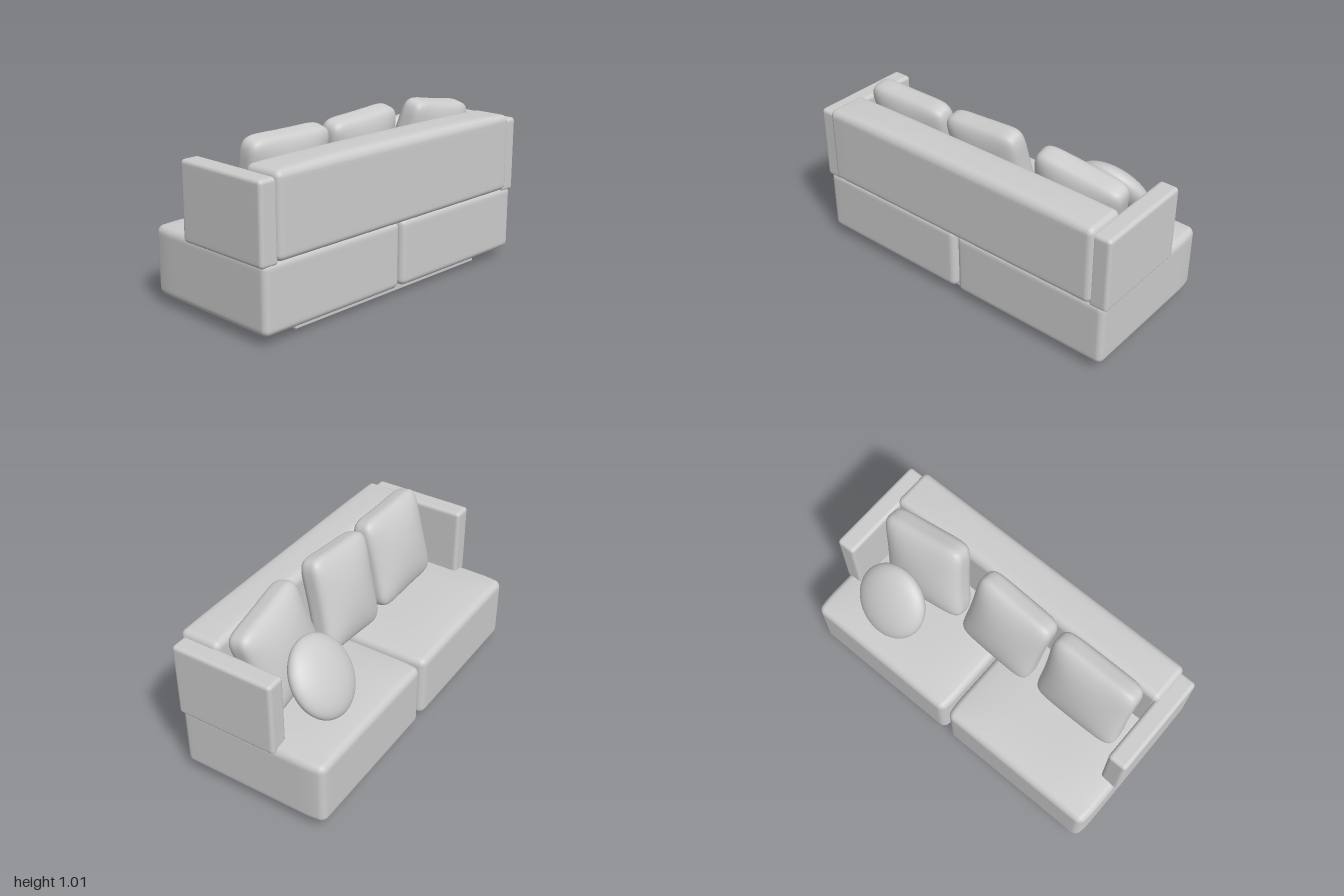
import * as THREE from 'three';
import { mergeVertices } from 'three/addons/utils/BufferGeometryUtils.js';

const material = new THREE.MeshStandardMaterial({ color: 0xcccccc });

// Moves every vertex of a unit cube (-1..1) by a rule and smooths the result.
function shapeCube(segments, rule) {
  let geo = new THREE.BoxGeometry(2, 2, 2, segments, segments, segments);
  geo.deleteAttribute('uv');
  geo.deleteAttribute('normal');
  geo = mergeVertices(geo, 1e-4);
  const pos = geo.attributes.position;
  const v = new THREE.Vector3();
  for (let i = 0; i < pos.count; i++) {
    rule(v.fromBufferAttribute(pos, i));
    pos.setXYZ(i, v.x, v.y, v.z);
  }
  geo.computeVertexNormals();
  return geo;
}

// Upholstered block between two corners: rounded edges, crowned top, optional front taper.
function softBox(name, min, max, { r = 0.03, crown = 0, belly = 0, taper = 0 } = {}) {
  const lo = new THREE.Vector3(...min), hi = new THREE.Vector3(...max);
  const half = hi.clone().sub(lo).multiplyScalar(0.5);
  const inner = half.clone().subScalar(r);
  const core = new THREE.Vector3();
  const geo = shapeCube(28, (p) => {
    for (const a of ['x', 'y', 'z']) {
      // pack the grid lines into the rounded rim
      const t = Math.abs(p[a]);
      const k = 0.7;
      const s = t < k ? (t / k) * inner[a] : inner[a] + ((t - k) / (1 - k)) * r;
      p[a] = Math.sign(p[a]) * s;
    }
    core.copy(p).clamp(inner.clone().negate(), inner);
    p.sub(core);
    const biggest = Math.max(Math.abs(p.x), Math.abs(p.y), Math.abs(p.z));
    if (biggest > 0) p.setLength(r);
    p.add(core);
    const u = p.x / half.x, w = p.z / half.z;
    const rise = (1 - u ** 4) * (1 - w ** 4);
    const side = p.y / half.y;
    p.y += side > 0 ? side * crown * rise : side * belly * rise;
    const front = THREE.MathUtils.clamp((-w - 0.7) / 0.3, 0, 1);
    p.x *= 1 - taper * front * front;
  });
  const mesh = new THREE.Mesh(geo, material);
  mesh.name = name;
  mesh.position.copy(lo).add(hi).multiplyScalar(0.5);
  return mesh;
}

// Plump square pillow: superellipse outline, pinched sides, domed faces.
function pillow(name, [x, y, z], [w, h, t], lean, roll, yaw) {
  const geo = shapeCube(28, (p) => {
    const edge = Math.max(Math.abs(p.x), Math.abs(p.y));
    const m = Math.max(edge, Math.abs(p.z));
    p.divideScalar(m);
    const outline = (Math.abs(p.x) ** 7 + Math.abs(p.y) ** 7) ** (1 / 7);
    const scale = (outline ** 4 + Math.abs(p.z) ** 4) ** (-1 / 4);
    p.multiplyScalar(scale);
    const { x: u, y: v } = p;
    const plump = 0.68 + 0.32 * (1 - u * u) * (1 - v * v);
    p.set(
      u * w * (1 - 0.06 * (1 - v * v)),
      v * h * (1 - 0.03 * (1 - u * u)),
      p.z * t * plump
    );
  });
  const mesh = new THREE.Mesh(geo, material);
  mesh.name = name;
  mesh.position.set(x, y, z);
  mesh.rotation.set(lean, yaw, roll);
  return mesh;
}

export function createModel() {
  const sofa = new THREE.Group();
  sofa.name = 'sofa';

  // Plinth
  sofa.add(softBox('plinth', [-0.71, 0, -0.35], [0.74, 0.08, 0.35], { r: 0.006 }));

  // Seat blocks and arms, mirrored left and right
  for (const [side, s] of [['left', 1], ['right', -1]]) {
    const seatX = [s * 0.008, s * 0.983].sort((a, b) => a - b);
    sofa.add(softBox(`${side}Seat`, [seatX[0], 0.052, -0.457], [seatX[1], 0.437, 0.432],
      { r: 0.038, crown: 0.027, belly: 0.006, taper: 0.03 }));
    const armX = [s * 0.885, s].sort((a, b) => a - b);
    sofa.add(softBox(`${side}Arm`, [armX[0], 0.412, -0.177], [armX[1], 0.853, 0.432], { r: 0.022 }));
  }

  // Backrest
  sofa.add(softBox('backrest', [-0.907, 0.43, 0.21], [0.907, 0.883, 0.455], { r: 0.036, crown: 0.017 }));

  // Back pillows leaning on the backrest
  sofa.add(pillow('rightPillow', [-0.565, 0.715, 0.085], [0.282, 0.28, 0.12], 0.25, 0, 0));
  sofa.add(pillow('middlePillow', [-0.01, 0.725, 0.085], [0.255, 0.285, 0.12], 0.25, 0.08, 0));
  sofa.add(pillow('leftPillow', [0.575, 0.715, 0.09], [0.272, 0.275, 0.125], 0.25, -0.18, 0.04));

  // Round cushion resting against the left pillow
  const round = new THREE.Mesh(new THREE.SphereGeometry(1, 48, 32), material);
  round.name = 'roundCushion';
  round.scale.set(0.217, 0.23, 0.088);
  round.position.set(0.595, 0.66, -0.2);
  round.rotation.x = 0.59;
  sofa.add(round);

  return sofa;
}
